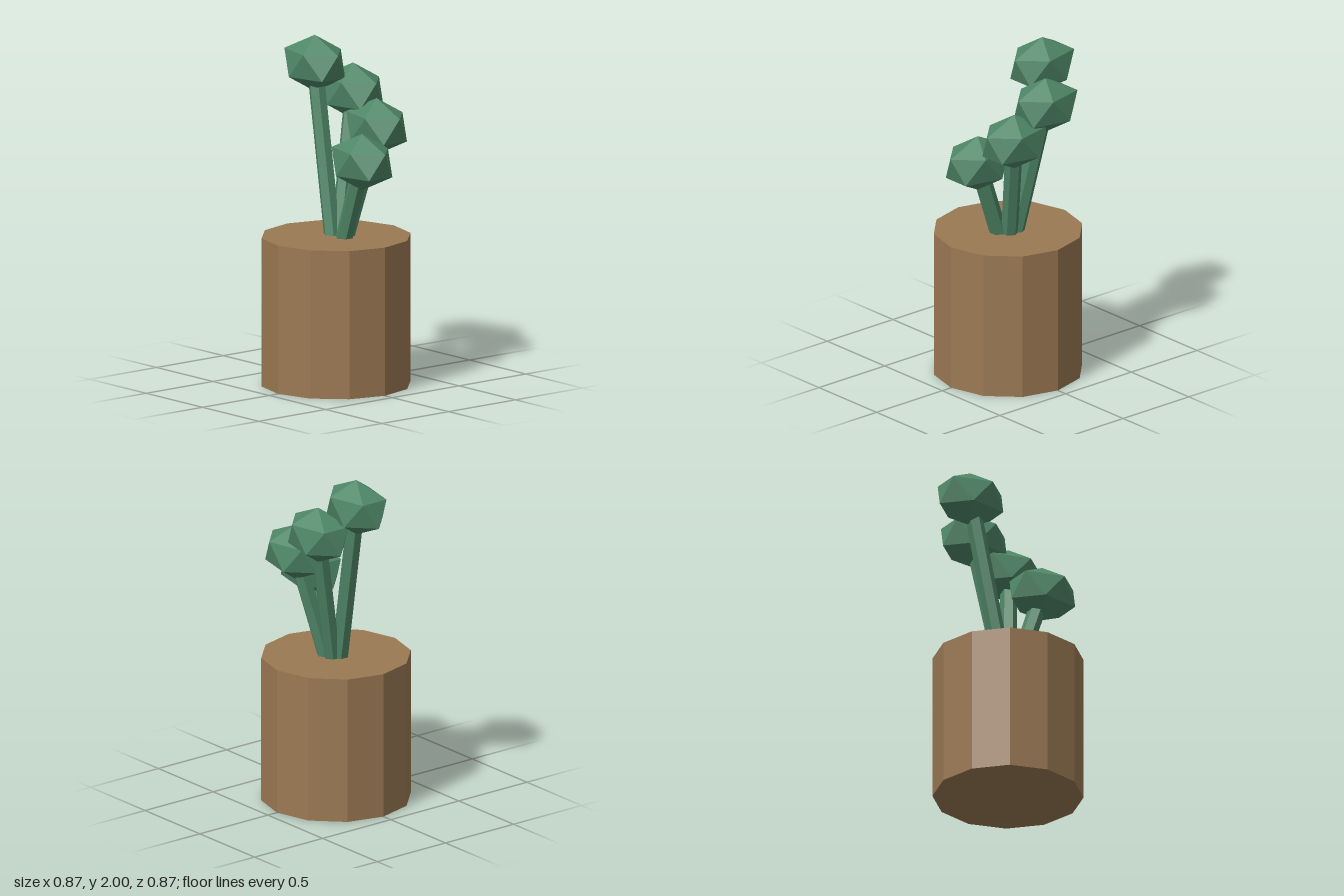
import * as THREE from 'three';

const GREEN = new THREE.MeshStandardMaterial({ color: 0x4f8767, flatShading: true });
const BROWN = new THREE.MeshStandardMaterial({ color: 0x9b7953, flatShading: true });

function part(name, geometry, material) {
  const mesh = new THREE.Mesh(geometry, material);
  mesh.name = name;
  return mesh;
}

// Twenty-sided bud standing on a corner, one upper corner towards +x, stretched sideways
function budGeometry() {
  const g = new THREE.IcosahedronGeometry(0.165, 0);
  g.rotateX(-Math.atan2((1 + Math.sqrt(5)) / 2, 1));
  g.rotateY(Math.PI / 2);
  g.scale(1.4, 1, 1);
  return g;
}

// Straight six-sided stem between two points
function stem(from, to) {
  const dir = to.clone().sub(from);
  const mesh = part('stem', new THREE.CylinderGeometry(0.05, 0.05, dir.length(), 6), GREEN);
  mesh.position.copy(from).addScaledVector(dir, 0.5);
  mesh.quaternion.setFromUnitVectors(new THREE.Vector3(0, 1, 0), dir.normalize());
  return mesh;
}

export function createModel() {
  const model = new THREE.Group();
  model.name = 'pottedPlant';

  // Twelve-sided pot
  const pot = part('pot', new THREE.CylinderGeometry(0.433, 0.433, 0.867, 12), BROWN);
  pot.position.y = 0.4335;
  model.add(pot);

  // Stems fan out from one root inside the pot, each ending in a bud
  const root = new THREE.Vector3(0, 0.65, 0);
  const geometry = budGeometry();
  const budCentres = [
    [-0.23, 1.835, -0.035],
    [-0.1, 1.67, -0.212],
    [0.125, 1.5, -0.198],
    [0.23, 1.335, 0],
  ];
  for (const c of budCentres) {
    const tip = new THREE.Vector3(...c);
    const stalk = new THREE.Group();
    stalk.name = 'stalk';
    const bud = part('bud', geometry, GREEN);
    bud.position.copy(tip);
    stalk.add(stem(root, tip), bud);
    model.add(stalk);
  }
  return model;
}
